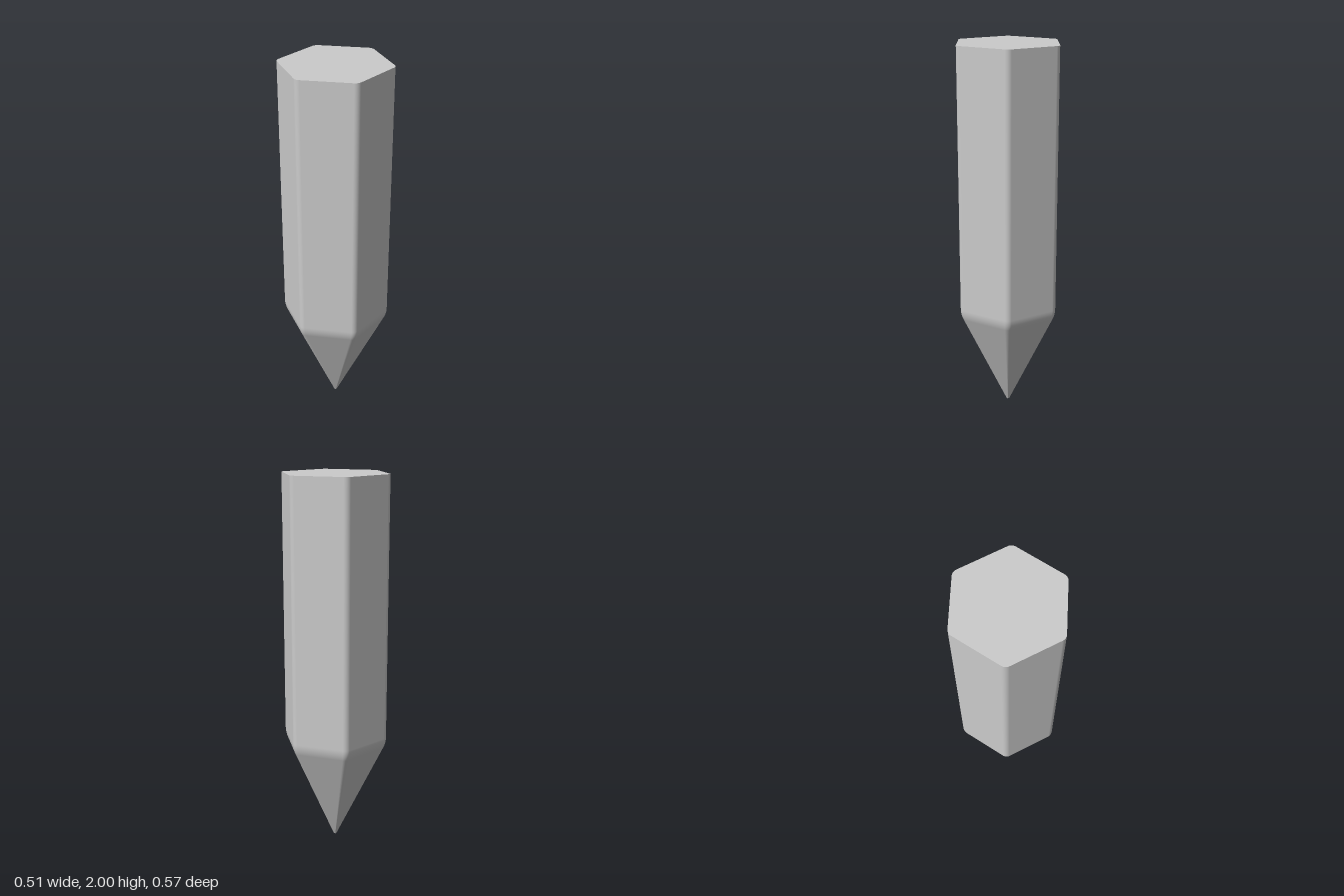
import * as THREE from 'three';

const APOTHEM = 0.253, CORNER_R = 0.035, HEIGHT = 2;
const TIP = 0.007, SHOULDER = 0.58, BLEND = 0.03, ARC_STEPS = 8;
const SLOPE = (APOTHEM - TIP) / SHOULDER;

// Rounded hexagon: points with outward normal and support distance (relative to the apothem)
function hexagonOutline() {
  const points = [];
  const centreDist = (APOTHEM - CORNER_R) / Math.cos(Math.PI / 6);
  for (let k = 0; k < 6; k++) {
    const mid = (k + 0.5) * Math.PI / 3;
    for (let i = 0; i <= ARC_STEPS; i++) {
      const t = (k + i / ARC_STEPS) * Math.PI / 3;
      const nx = Math.cos(t), nz = Math.sin(t);
      const x = centreDist * Math.cos(mid) + CORNER_R * nx;
      const z = centreDist * Math.sin(mid) + CORNER_R * nz;
      points.push({ x, z, nx, nz, support: (x * nx + z * nz) / APOTHEM });
    }
  }
  return points;
}

// Profile: straight taper, softly blended shoulder, straight shaft
function sideProfile() {
  const rings = [{ y: 0, a: TIP, slope: SLOPE }];
  for (let i = 0; i <= 8; i++) {
    const y = SHOULDER + BLEND * (i / 4 - 1);
    const rest = SHOULDER + BLEND - y;
    rings.push({ y, a: APOTHEM - SLOPE * rest * rest / (4 * BLEND), slope: SLOPE * rest / (2 * BLEND) });
  }
  rings.push({ y: HEIGHT, a: APOTHEM, slope: 0 });
  return rings;
}

// Loft the outline along the profile with exact smooth normals
function sideGeometry(outline, rings) {
  const pos = [], nor = [], index = [], n = outline.length;
  const v = new THREE.Vector3();
  for (const { y, a, slope } of rings) {
    for (const p of outline) {
      const s = a / APOTHEM;
      pos.push(p.x * s, y, p.z * s);
      v.set(p.nx, -slope * p.support, p.nz).normalize();
      nor.push(v.x, v.y, v.z);
    }
  }
  for (let r = 0; r < rings.length - 1; r++) {
    for (let i = 0; i < n; i++) {
      const j = (i + 1) % n;
      const a = r * n + i, b = r * n + j, c = b + n, d = a + n;
      index.push(a, d, c, a, c, b);
    }
  }
  const g = new THREE.BufferGeometry();
  g.setAttribute('position', new THREE.Float32BufferAttribute(pos, 3));
  g.setAttribute('normal', new THREE.Float32BufferAttribute(nor, 3));
  g.setIndex(index);
  return g;
}

export function createModel() {
  const group = new THREE.Group();
  group.name = 'pointedHexagonalPeg';
  const material = new THREE.MeshStandardMaterial({ color: 0xcccccc });
  const outline = hexagonOutline();

  const add = (name, geometry, y = 0) => {
    const mesh = new THREE.Mesh(geometry, material);
    mesh.name = name;
    mesh.position.y = y;
    group.add(mesh);
  };
  const cap = (scale, turn) => new THREE.ShapeGeometry(
    new THREE.Shape(outline.map(p => new THREE.Vector2(p.x * scale, p.z * scale)))
  ).rotateX(turn);

  // Shaft and tapered point
  add('shaftAndPoint', sideGeometry(outline, sideProfile()));
  // Flat top and blunt tip
  add('topFace', cap(1, -Math.PI / 2), HEIGHT);
  add('tipFace', cap(TIP / APOTHEM, Math.PI / 2));
  return group;
}
